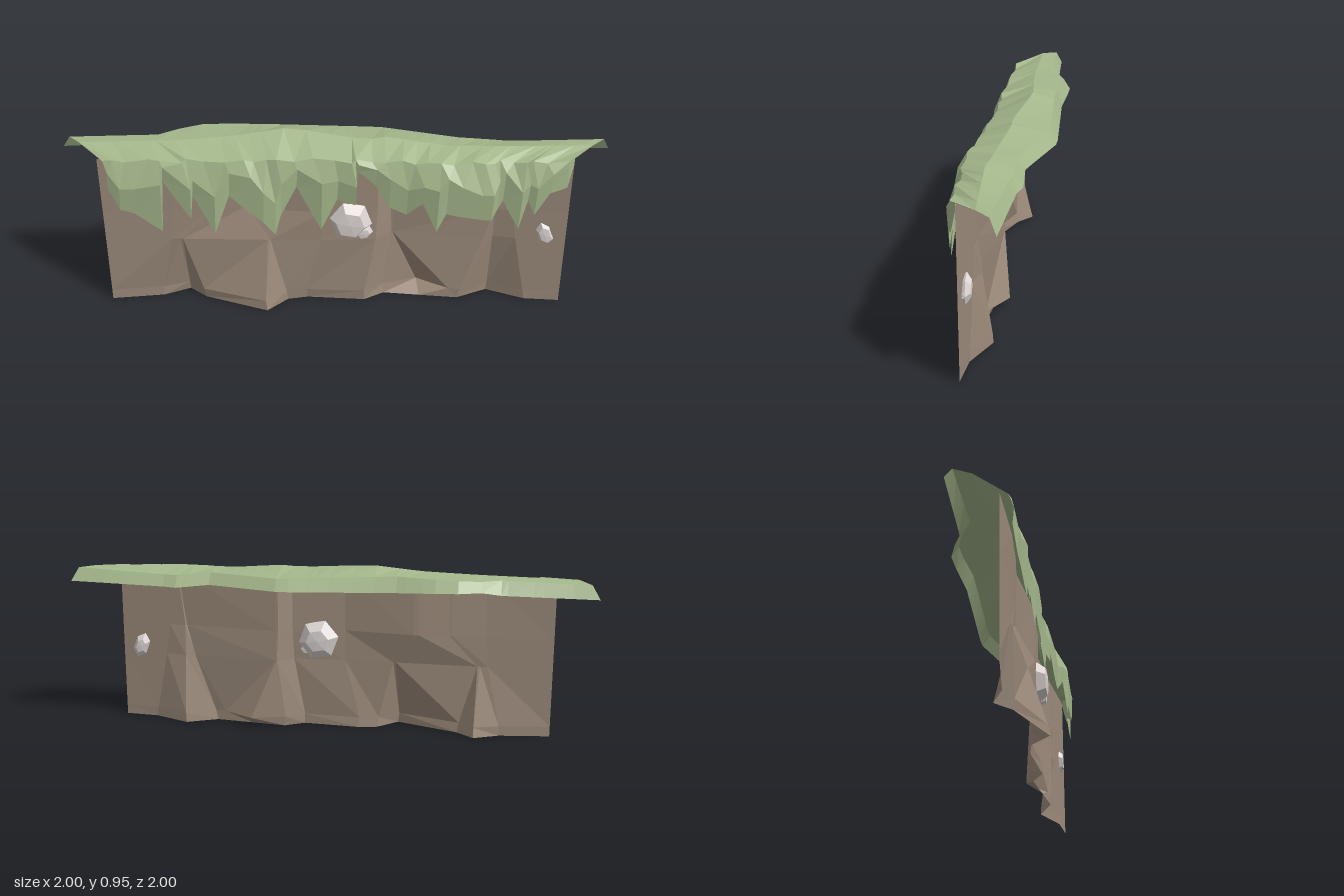
import * as THREE from 'three';

const paint = color => new THREE.MeshStandardMaterial({ color, flatShading: true, side: THREE.DoubleSide });

// Surface through a row of cross-sections that all have the same number of points
function loft(name, sections, material) {
  const n = sections[0].length, index = [];
  for (let j = 0; j < sections.length - 1; j++) {
    for (let i = 0; i < n - 1; i++) {
      const a = j * n + i, b = a + n;
      index.push(a, b, b + 1, a, b + 1, a + 1);
    }
  }
  const geo = new THREE.BufferGeometry();
  geo.setAttribute('position', new THREE.Float32BufferAttribute(sections.flat(2), 3));
  geo.setIndex(index);
  geo.computeVertexNormals();
  const mesh = new THREE.Mesh(geo, material);
  mesh.name = name;
  return mesh;
}

// Point on a polyline at the place where x + z reaches the given sum
function along(line, sum) {
  let k = 0;
  while (k < line.length - 2 && line[k + 1][0] + line[k + 1][2] < sum) k++;
  const a = line[k], b = line[k + 1], s = a[0] + a[2];
  const t = Math.min(1, Math.max(0, (sum - s) / (b[0] + b[2] - s)));
  return a.map((v, i) => v + (b[i] - v) * t);
}

// Rock face: each column lists [x, z] from the ground up
function rockWall() {
  const heights = [0, 0.055, 0.38, 0.55, 0.86];
  const same = p => heights.map(() => p);
  const columns = [
    same([-1, -0.7]),
    [[-0.78, -0.53], [-0.78, -0.53], [-0.75, -0.46], [-0.74, -0.45], [-0.74, -0.44]],
    [[-0.64, -0.48], [-0.65, -0.47], [-0.72, -0.43], [-0.6, -0.33], [-0.6, -0.32]],
    [[-0.63, -0.36], [-0.64, -0.36], [-0.71, -0.42], [-0.59, -0.32], [-0.59, -0.31]],
    [[-0.48, -0.03], [-0.48, -0.04], [-0.4, -0.1], [-0.46, -0.22], [-0.46, -0.21]],
    [[-0.33, -0.03], [-0.34, -0.03], [-0.39, -0.09], [-0.44, -0.2], [-0.44, -0.19]],
    [[-0.24, 0.03], [-0.25, 0.03], [-0.2, 0.1], [-0.2, 0.1], [-0.2, 0.1]],
    [[-0.04, 0.26], [-0.04, 0.26], [0.01, 0.29], [0.02, 0.29], [0.02, 0.29]],
    // Recess and sloping outcrop
    [[0.08, 0.29], [0.08, 0.28], [0.12, 0.3], [0.11, 0.3], [0.11, 0.3]],
    [[0.2, 0.44], [0.25, 0.37], [0.122, 0.302], [0.115, 0.305], [0.115, 0.305]],
    [[0.325, 0.595], [0.3, 0.56], [0.124, 0.304], [0.12, 0.31], [0.12, 0.31]],
    [[0.33, 0.6], [0.335, 0.61], [0.42, 0.68], [0.45, 0.71], [0.48, 0.73]],
    [[0.5, 0.66], [0.5, 0.665], [0.47, 0.7], [0.46, 0.71], [0.485, 0.735]],
    [[0.58, 0.86], [0.575, 0.85], [0.535, 0.8], [0.52, 0.78], [0.49, 0.74]],
    same([0.7, 1]),
  ];
  return loft('rockWall', columns.map(c => c.map(([x, z], i) => [x, heights[i], z])), paint(0x9b8a7a));
}

// Grass: hanging fringe, rounded lip, ridged top and a short skirt behind
function grass() {
  const skirt = [[-1, 0.82, -1], [-0.63, 0.83, -0.67], [-0.53, 0.85, -0.63], [-0.4, 0.85, -0.57], [-0.2, 0.84, -0.34],
    [0.26, 0.83, 0.07], [0.46, 0.83, 0.43], [0.6, 0.81, 0.55], [0.64, 0.81, 0.62], [1, 0.82, 1]];
  const rim = [[-0.99, 0.89, -0.95], [-0.66, 0.9, -0.63], [-0.58, 0.9, -0.62], [-0.42, 0.91, -0.54], [-0.22, 0.92, -0.31],
    [0.23, 0.89, 0.1], [0.43, 0.89, 0.46], [0.57, 0.87, 0.58], [0.62, 0.87, 0.65], [0.95, 0.89, 1]];
  const ridge = [[-1, 0.9, -0.85], [-0.62, 0.91, -0.48], [-0.4, 0.925, -0.3], [-0.2, 0.955, -0.14],
    [0.03, 0.92, 0.18], [0.12, 0.93, 0.25], [0.3, 0.9, 0.48], [0.48, 0.905, 0.68], [0.85, 0.89, 1]];
  // Lower edge of the fringe: [x, y]
  const fringe = [[-1, 0.72], [-0.97, 0.6], [-0.92, 0.58], [-0.83, 0.48], [-0.8, 0.76], [-0.72, 0.55], [-0.7, 0.68],
    [-0.64, 0.47], [-0.57, 0.68], [-0.5, 0.58], [-0.46, 0.53], [-0.41, 0.45], [-0.38, 0.56], [-0.31, 0.72],
    [-0.24, 0.48], [-0.17, 0.65], [-0.12, 0.63], [-0.1, 0.82], [-0.04, 0.74], [0, 0.62], [0.06, 0.58], [0.1, 0.66],
    [0.14, 0.5], [0.18, 0.6], [0.23, 0.585], [0.3, 0.57], [0.34, 0.565], [0.385, 0.6], [0.41, 0.66], [0.46, 0.5],
    [0.5, 0.66], [0.52, 0.58], [0.58, 0.7], [0.66, 0.72], [0.7, 0.84]];
  const sections = fringe.map(([x, y], j) => {
    const sum = -2 + 4 * (x + 1) / 1.7;
    // The fringe hugs the middle of the wall and swells over the outcrop beside it
    const swell = x > -0.42 && x < -0.12 ? -0.03 : x > 0.08 && x < 0.36 ? 0.045 : 0;
    const out = 0.06 + 0.15 * (0.8 - y) + swell;
    const lip = 0.87 + 0.01 * Math.sin(j * 2.3);
    const z = d => Math.min(1, x + 0.3 + d);
    return [
      [x, y, z(out)],
      [x, lip - (lip - y) * (0.4 + 0.15 * Math.sin(j * 1.3)), z(out + 0.01)],
      [x, lip, z(0.05 + 0.6 * swell + 0.01 * Math.sin(j * 1.7))],
      along(ridge, sum), along(rim, sum), along(skirt, sum),
    ];
  });
  return loft('grass', sections, paint(0xa5b88c));
}

// Flat six-sided stones set through the rock face
function stone(x, y, z, w, h, d, tilt) {
  const profile = [[0, -1], [0.55, -0.9], [1, -0.1], [0.65, 0.9], [0, 1]].map(p => new THREE.Vector2(...p));
  const geo = new THREE.LatheGeometry(profile, 6).rotateX(Math.PI / 2).scale(w, h, d).rotateZ(tilt);
  const mesh = new THREE.Mesh(geo, paint(0xdcd4d3));
  mesh.rotation.y = -Math.PI / 4;
  mesh.position.set(x, y, z);
  mesh.name = 'stone';
  return mesh;
}

export function createModel() {
  const group = new THREE.Group();
  group.name = 'cliff';
  group.add(rockWall(), grass());
  group.add(stone(-0.09, 0.495, 0.2, 0.115, 0.115, 0.055, 0.35));
  group.add(stone(-0.05, 0.435, 0.26, 0.05, 0.04, 0.025, 0.5));
  group.add(stone(0.635, 0.42, 0.91, 0.045, 0.075, 0.03, 0.35));
  group.add(stone(0.645, 0.395, 0.93, 0.03, 0.025, 0.02, 0.3));
  return group;
}
